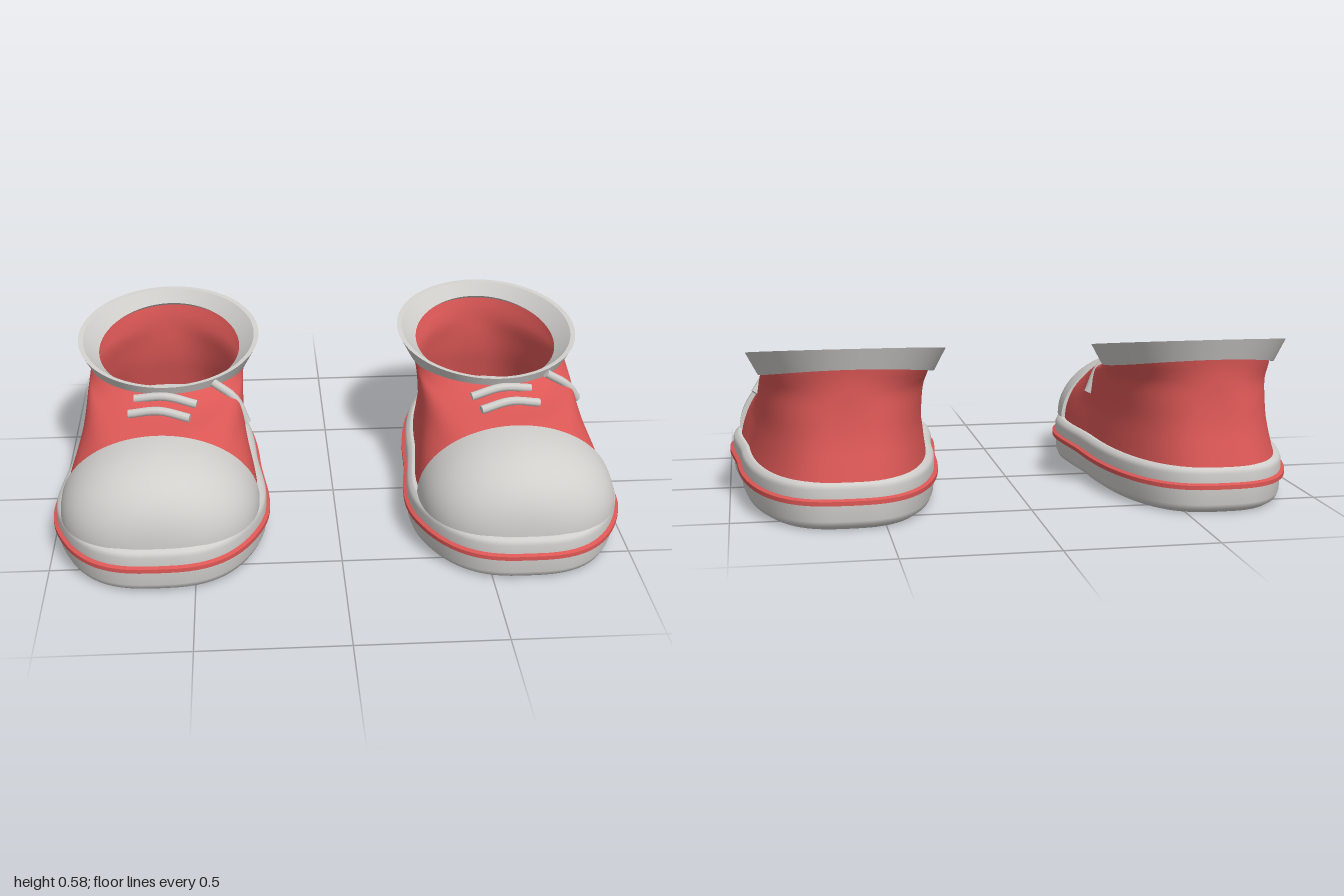
import * as THREE from 'three';

const SEG = 96;
const red = new THREE.MeshStandardMaterial({ color: 0xdc5856, side: THREE.DoubleSide });
red.name = 'red canvas';
const grey = new THREE.MeshStandardMaterial({ color: 0xd1cfcc, side: THREE.DoubleSide });
grey.name = 'light grey rubber';

// Skin a list of rings (arrays of Vector3); a repeated ring makes a sharp edge.
function loft(rings, closed = true) {
  const n = rings[0].length, pos = [], idx = [];
  for (const r of rings) for (const p of r) pos.push(p.x, p.y, p.z);
  for (let i = 0; i + 1 < rings.length; i++) {
    for (let j = 0; j < (closed ? n : n - 1); j++) {
      const a = i * n + j, b = i * n + (j + 1) % n;
      idx.push(a, b, b + n, a, b + n, a + n);
    }
  }
  const g = new THREE.BufferGeometry();
  g.setAttribute('position', new THREE.Float32BufferAttribute(pos, 3));
  g.setIndex(idx);
  g.computeVertexNormals();
  return g;
}

// Foot-shaped ring between a front and a back point, with heel and ball half widths.
function ring(fz, fy, bz, by, heelW, ballW, p = 1, dx = 0, sag = 0) {
  return Array.from({ length: SEG }, (_, j) => {
    const a = j / SEG * Math.PI * 2, c = Math.cos(a), s = Math.sin(a), t = (1 + c) / 2;
    const w = heelW + (ballW - heelW) * THREE.MathUtils.smoothstep(c, -0.1, 0.6);
    return new THREE.Vector3(
      dx + Math.sign(s) * Math.abs(s) ** p * w,
      by + (fy - by) * t - sag * s * s,
      (fz + bz) / 2 + (fz - bz) / 2 * c);
  });
}

// Sole outline at height y, grown by d.
const soleRing = (y, d) => ring(0.663 + d, y, -0.663 - d, y, 0.34 + d, 0.403 + d, 0.7);
const centre = (y) => ring(0, y, 0, y, 0, 0);

function add(group, name, geometry, material) {
  const m = new THREE.Mesh(geometry, material);
  m.name = name;
  group.add(m);
}

function lace(points) {
  const path = new THREE.CatmullRomCurve3(points.map((p) => new THREE.Vector3(...p)));
  const tube = new THREE.TubeGeometry(path, 10, 0.016, 8);
  // End caps
  const ends = [0, 1].map((t) => {
    const disc = new THREE.CircleGeometry(0.016, 8);
    const dir = path.getTangent(t).multiplyScalar(t ? 1 : -1);
    disc.applyQuaternion(new THREE.Quaternion().setFromUnitVectors(new THREE.Vector3(0, 0, 1), dir));
    const p = path.getPoint(t);
    return disc.translate(p.x, p.y, p.z);
  });
  return [tube, ...ends];
}

function makeShoe(side) {
  const shoe = new THREE.Group();
  shoe.name = side > 0 ? 'leftShoe' : 'rightShoe';
  shoe.position.x = side * 0.62;
  const inward = -side * 0.022;

  // Sole with rounded edges; its top is the insole
  add(shoe, 'sole', loft([
    centre(0), soleRing(0, -0.03), soleRing(0, -0.03), soleRing(0.012, -0.012),
    soleRing(0.03, -0.004), soleRing(0.09, 0), soleRing(0.135, 0), soleRing(0.15, -0.006),
    soleRing(0.157, -0.02), soleRing(0.157, -0.02), centre(0.157),
  ]), grey);

  // Raised stripe around the sole
  add(shoe, 'soleStripe', loft([
    soleRing(0.083, -0.002), soleRing(0.086, 0.013), soleRing(0.086, 0.013),
    soleRing(0.1, 0.013), soleRing(0.1, 0.013), soleRing(0.106, -0.002),
  ]), red);

  // Upper: rings from the sole to the ankle, smoothed in height
  const keys = [
    [0.62, 0.15, -0.648, 0.15, 0.31, 0.37, 0.7],
    [0.61, 0.2, -0.635, 0.2, 0.3, 0.36, 0.7],
    [0.57, 0.26, -0.615, 0.28, 0.288, 0.335, 0.72],
    [0.47, 0.335, -0.605, 0.36, 0.285, 0.29, 0.8],
    [0.31, 0.385, -0.603, 0.42, 0.283, 0.283, 0.95],
    [0.17, 0.405, -0.603, 0.46, 0.283, 0.28, 1],
    [0.09, 0.43, -0.605, 0.49, 0.284, 0.282, 1],
    [0.045, 0.448, -0.61, 0.525, 0.287, 0.287, 1],
  ].map((k, i) => ring(...k, inward * i / 7));
  const columns = keys[0].map((_, j) =>
    new THREE.CatmullRomCurve3(keys.map((k) => k[j])).getPoints(28));
  add(shoe, 'upper', loft(columns[0].map((_, i) => columns.map((c) => c[i]))), red);

  // Flared ankle collar
  const collar = [
    [0.005, 0.435, -0.595, 0.53, 0.262, 0.262, 1, inward, 0.01],
    [0.05, 0.428, -0.617, 0.512, 0.296, 0.296, 1, inward, 0.018],
    [0.07, 0.474, -0.642, 0.582, 0.336, 0.336, 1, inward],
    [0.052, 0.474, -0.624, 0.579, 0.318, 0.318, 1, inward],
    [0.005, 0.435, -0.595, 0.53, 0.262, 0.262, 1, inward, 0.01],
  ].flatMap((k) => [ring(...k), ring(...k)]);
  add(shoe, 'collar', loft(collar), grey);

  // Domed toe cap with a thin stepped rear edge
  const arch = (z, s) => Array.from({ length: 49 }, (_, j) => {
    const a = j / 48 * Math.PI;
    return new THREE.Vector3(0.343 * s * Math.cos(a), 0.155 + 0.252 * s * Math.sin(a), z);
  });
  const cap = [arch(0.31, 0.86), arch(0.31, 1)];
  for (let i = 0; i <= 24; i++) {
    const u = Math.sin(i / 24 * Math.PI / 2);
    cap.push(arch(0.31 + 0.33 * u, Math.max(0, 1 - u ** 2.5) ** 0.4));
  }
  add(shoe, 'toeCap', loft(cap, false), grey);

  // Two crossing laces, mirrored between the shoes, and one loose end
  const laces = [
    [[0.09, 0.432, 0.065], [-0.02, 0.447, 0.085], [-0.13, 0.424, 0.107]],
    [[0.107, 0.412, 0.145], [0, 0.43, 0.165], [-0.107, 0.412, 0.192]],
  ].map((l) => l.map(([x, y, z]) => [x * side, y, z]));
  laces.push(side > 0
    ? [[0.155, 0.465, 0.012], [0.235, 0.412, 0.0], [0.283, 0.345, -0.022]]
    : [[0.185, 0.465, 0.01], [0.264, 0.4, 0.015], [0.305, 0.305, 0.02]]);
  laces.forEach((l, i) => {
    const g = new THREE.Group();
    g.name = i < 2 ? 'lace' : 'looseLace';
    lace(l).forEach((part, k) => add(g, k ? 'laceEnd' : 'laceCord', part, grey));
    shoe.add(g);
  });
  return shoe;
}

export function createModel() {
  const model = new THREE.Group();
  model.name = 'pairOfShoes';
  model.add(makeShoe(-1), makeShoe(1));
  return model;
}
